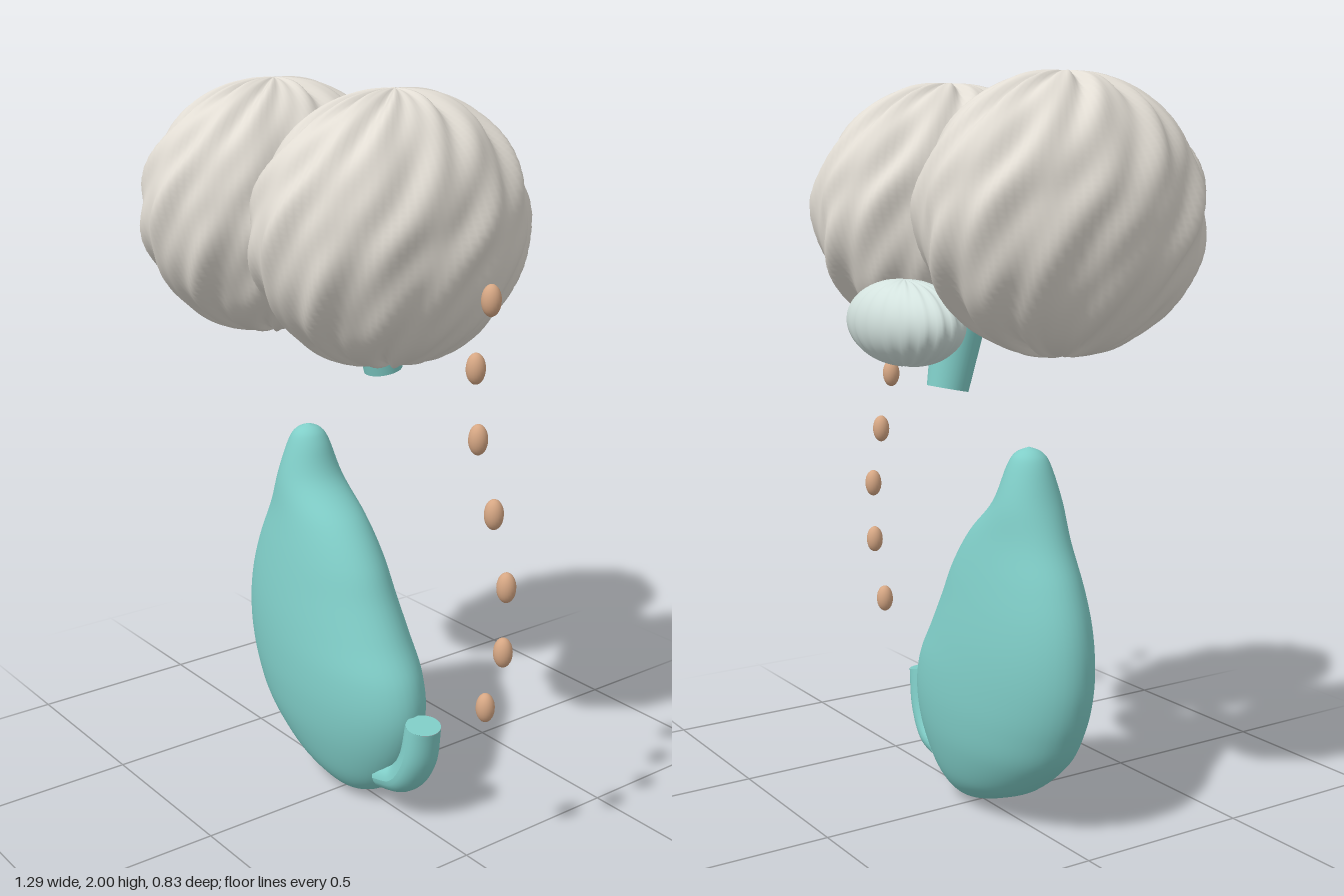
import * as THREE from 'three';
import { mergeVertices } from 'three/addons/utils/BufferGeometryUtils.js';

const mat = (color) => new THREE.MeshStandardMaterial({ color });
const cream = mat(0xe2ddd4), pale = mat(0xd3e2de), teal = mat(0x80cec8), tan = mat(0xd6a784);
const V = (x, y, z) => new THREE.Vector3(x, y, z);

function add(parent, name, geometry, material, x = 0, y = 0, z = 0) {
  const mesh = new THREE.Mesh(geometry, material);
  mesh.name = name;
  mesh.position.set(x, y, z);
  parent.add(mesh);
  return mesh;
}

// Ellipsoid whose radius is modulated by fold(angle, height)
function foldedEllipsoid(rx, ry, rz, segs, rows, fold) {
  let g = new THREE.SphereGeometry(1, segs, rows);
  g.deleteAttribute('uv');
  g.deleteAttribute('normal');
  g = mergeVertices(g, 1e-5);
  const p = g.attributes.position;
  for (let i = 0; i < p.count; i++) {
    const x = p.getX(i), y = p.getY(i), z = p.getZ(i);
    const ring = Math.min(1, Math.hypot(x, z) * 3);
    const k = 1 + fold(Math.atan2(x, z), y) * ring;
    p.setXYZ(i, x * rx * k, y * ry * k, z * rz * k);
  }
  g.computeVertexNormals();
  return g;
}

// Smooth skin over rings of points; poles are rings of zero size
function skin(rings, ringPoint, segs) {
  const pos = [], idx = [];
  for (let i = 0; i <= rings; i++)
    for (let j = 0; j < segs; j++) pos.push(...ringPoint(i / rings, (j / segs) * Math.PI * 2).toArray());
  for (let i = 0; i < rings; i++)
    for (let j = 0; j < segs; j++) {
      const a = i * segs + j, b = i * segs + ((j + 1) % segs), c = a + segs, d = b + segs;
      idx.push(a, c, b, b, c, d);
    }
  const g = new THREE.BufferGeometry();
  g.setAttribute('position', new THREE.Float32BufferAttribute(pos, 3));
  g.setIndex(idx);
  const merged = mergeVertices(g, 1e-5);
  merged.computeVertexNormals();
  return merged;
}

// Flattened sac: each row is height, left edge, right edge, half depth
const SAC = [
  [1.05, -0.22, -0.22, 0], [1.035, -0.255, -0.185, 0.035], [1.0, -0.28, -0.16, 0.058],
  [0.9, -0.315, -0.115, 0.09], [0.8, -0.355, 0.0, 0.112], [0.7, -0.405, 0.08, 0.132],
  [0.6, -0.44, 0.133, 0.148], [0.5, -0.455, 0.19, 0.16], [0.4, -0.45, 0.25, 0.166],
  [0.3, -0.42, 0.268, 0.164], [0.2, -0.36, 0.245, 0.15], [0.1, -0.24, 0.19, 0.118],
  [0.04, -0.11, 0.13, 0.078], [0.01, -0.02, 0.065, 0.035], [0, 0.02, 0.02, 0],
];
function sacGeometry() {
  const spline = (f) => new THREE.CatmullRomCurve3(SAC.map(f), false, 'catmullrom', 0.5);
  const edges = spline((r) => V(r[1], r[0], r[2]));
  const depth = spline((r) => V(r[3], 0, 0));
  return skin(84, (t, a) => {
    const e = edges.getPoint(t), d = depth.getPoint(t).x;
    return V((e.x + e.z) / 2 + Math.sin(a) * (e.z - e.x) / 2, e.y, Math.cos(a) * d);
  }, 48);
}

// Upturned outlet, wider in depth at its base and closed at both ends
function outletGeometry() {
  const path = new THREE.CatmullRomCurve3([V(0.17, 0.11, 0), V(0.24, 0.13, 0), V(0.288, 0.2, 0), V(0.31, 0.31, 0)]);
  const g = new THREE.TubeGeometry(path, 24, 0.047, 24);
  const p = g.attributes.position;
  for (let i = 0; i < p.count; i++) {
    const t = Math.floor(i / 25) / 24;
    p.setZ(i, p.getZ(i) * (1.45 - 0.35 * t));
  }
  g.computeVertexNormals();
  return g;
}

export function createModel() {
  const model = new THREE.Group();
  model.name = 'organs';

  // Two hemispheres with spiralling folds
  const brain = new THREE.Group();
  brain.name = 'brain';
  model.add(brain);
  const folds = (a, y) =>
    0.020 * Math.sin(12 * a - 6 * y + 0.8 * Math.sin(7 * y + 2 * a)) +
    0.012 * Math.sin(19 * a - 13 * y) +
    0.012 * Math.sin(7 * a - 10 * y + 1.5);
  const hemisphere = foldedEllipsoid(0.267, 0.35, 0.398, 112, 72, folds);
  add(brain, 'rightHemisphere', hemisphere, cream, -0.37, 1.652, 0);
  add(brain, 'leftHemisphere', hemisphere, cream, 0.163, 1.652, 0);

  // Small lobe tucked in behind
  const lobe = foldedEllipsoid(0.225, 0.11, 0.113, 80, 40, (a) => 0.02 * Math.sin(20 * a));
  add(brain, 'hindLobe', lobe, pale, -0.105, 1.382, -0.307);

  // Tapered stem leaning back as it descends
  const stem = add(brain, 'stem', new THREE.CylinderGeometry(0.075, 0.055, 0.24, 32), teal, -0.105, 1.322, -0.156);
  stem.rotation.x = 0.2;

  // Sac with its outlet
  const stomach = new THREE.Group();
  stomach.name = 'stomach';
  model.add(stomach);
  add(stomach, 'sac', sacGeometry(), teal);
  add(stomach, 'outlet', outletGeometry(), teal);
  const cap = add(stomach, 'outletCap', new THREE.CircleGeometry(0.047, 24), teal, 0.31, 0.31, 0);
  cap.rotation.set(-Math.PI / 2, -0.18, 0, 'ZYX');
  cap.quaternion.setFromUnitVectors(V(0, 0, 1), V(0.16, 1, 0).normalize());
  cap.scale.set(1, 1.1, 1);

  // Floating chain of beads
  const beads = new THREE.Group();
  beads.name = 'beadChain';
  model.add(beads);
  const bead = new THREE.SphereGeometry(0.025, 20, 14).scale(1, 1.6, 1);
  [0.54, 0.49, 0.505, 0.57, 0.623, 0.618, 0.558].forEach((x, i) =>
    add(beads, 'bead' + (i + 1), bead, tan, x, 1.53 - i * 0.1775, 0));

  return model;
}
